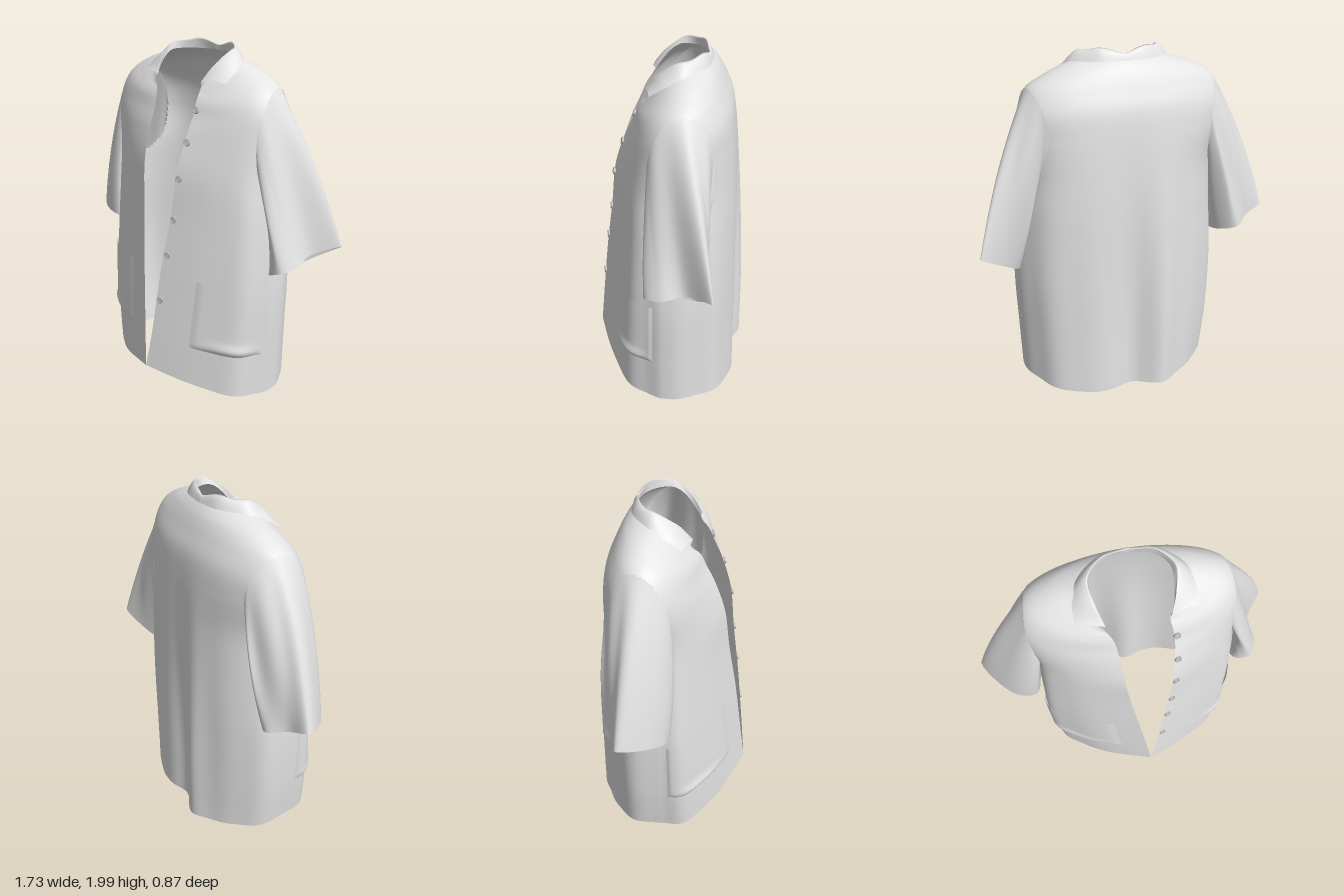
import * as THREE from 'three';

const cloth = new THREE.MeshStandardMaterial({ color: 0xe4e4e4, side: THREE.DoubleSide });
cloth.name = 'pale grey cloth';
const horn = new THREE.MeshStandardMaterial({ color: 0xbdbdbd });
horn.name = 'button grey';

// Body rows, hem to neckline: y front, y side, y back, right edge x, left edge x,
// edge z, right half-width, left half-width, back z, side z
const ROWS = [
  [0.18, 0.05, 0.005, 0.06, 0.06, 0.44, 0.51, 0.60, -0.395, 0.0],
  [0.40, 0.34, 0.35, 0.035, 0.09, 0.415, 0.54, 0.61, -0.39, 0.0],
  [0.79, 0.715, 0.75, -0.01, 0.125, 0.37, 0.55, 0.62, -0.385, 0.0],
  [1.10, 1.10, 1.10, -0.05, 0.16, 0.325, 0.53, 0.60, -0.38, 0.0],
  [1.35, 1.35, 1.35, -0.075, 0.18, 0.295, 0.525, 0.575, -0.37, -0.01],
  [1.53, 1.55, 1.55, -0.09, 0.19, 0.24, 0.575, 0.58, -0.355, -0.04],
  [1.64, 1.68, 1.69, -0.10, 0.195, 0.19, 0.585, 0.585, -0.335, -0.07],
  [1.70, 1.79, 1.79, -0.11, 0.19, 0.165, 0.525, 0.53, -0.295, -0.09],
  [1.735, 1.86, 1.86, -0.125, 0.185, 0.145, 0.41, 0.42, -0.26, -0.10],
  [1.76, 1.905, 1.90, -0.145, 0.18, 0.125, 0.28, 0.31, -0.23, -0.09],
  [1.79, 1.93, 1.93, -0.165, 0.18, 0.11, 0.19, 0.22, -0.2, -0.06],
];
const TOP = ROWS.length - 1;
const { lerp, smoothstep, clamp } = THREE.MathUtils;
const bump = (x, c, w) => Math.exp(-(((x - c) / w) ** 2));
const cubic = (a, b, c, d, u) => a * (1 - u) ** 3 + 3 * b * u * (1 - u) ** 2 + 3 * c * u * u * (1 - u) + d * u ** 3;

// Smooth lookup between rows of numbers
function sample(rows, s) {
  const i = clamp(Math.floor(s), 0, rows.length - 2), f = s - i;
  const at = k => rows[clamp(k, 0, rows.length - 1)];
  return rows[i].map((b, c) => {
    const a = at(i - 1)[c], d = at(i + 1)[c], e = at(i + 2)[c];
    return b + 0.5 * f * (d - a + f * (2 * a - 5 * b + 4 * d - e + f * (3 * (b - d) + e - a)));
  });
}

// Body surface: side is -1 right or 1 left, t runs 0 at the front edge to PI at the back
function bodyPoint(side, t, s) {
  const [yF, yS, yB, xR, xL, zF, wR, wL, zB, zc] = sample(ROWS, s);
  const w = side < 0 ? -wR : wL;
  const sn = Math.max(0, Math.sin(t)), cs = Math.cos(t), up = smoothstep(s, 4, 8);
  const p = new THREE.Vector3();
  if (t < Math.PI / 2) {
    // nearly flat front panel turning a soft corner into the side
    const u = t / (Math.PI / 2), k = lerp(0.75, 0.55, up), corner = lerp(0.55, 0.9, up);
    const across = cubic(0, k, 1, 1, u);
    p.x = lerp(side < 0 ? xR : xL, w, across);
    p.z = lerp(zc, zF, cubic(1, lerp(1, corner, k), corner * k, 0, u));
    p.y = lerp(yF, yS, lerp(across, sn * sn, up));
  } else {
    const e = 2 / lerp(2.6, 2, up), mid = (wL - wR) / 2;
    p.x = mid + (w - mid) * sn ** e;
    p.z = zc + (zB - zc) * Math.abs(cs) ** e;
    p.y = yS + (yB - yS) * cs * cs;
  }
  // hanging folds, fading towards the shoulders
  const loose = 1 - smoothstep(p.y, 0.3, 1.75);
  if (cs < 0) {
    p.z -= cs * cs * loose * (0.05 * bump(p.x, -0.15, 0.09) + 0.012 * bump(p.x, 0.27, 0.1)
      - 0.035 * bump(p.x, 0.04, 0.08));
  }
  const ripple = 0.01 * (loose + 0.15) * Math.sin(t * 8 + side) * sn * sn * (1 - up);
  p.x += side * ripple * sn;
  p.z += ripple * cs;
  return p;
}

function bodyNormal(side, t, s) {
  const p = bodyPoint(side, t, s);
  const a = bodyPoint(side, t + 0.02, s).sub(p), b = bodyPoint(side, t, s + 0.02).sub(p);
  return b.cross(a).multiplyScalar(-side).normalize();
}

// Grid surface from fn(u, v) with u and v in 0..1; closed joins the u ends, hole(u, v) leaves cells out
function grid(name, fn, nu, nv, { closed = false, hole = () => false } = {}) {
  const pos = [], idx = [], cols = closed ? nu : nu + 1;
  for (let j = 0; j <= nv; j++) {
    for (let i = 0; i < cols; i++) pos.push(...fn(i / nu, j / nv).toArray());
  }
  for (let j = 0; j < nv; j++) {
    for (let i = 0; i < nu; i++) {
      if (hole((i + 0.5) / nu, (j + 0.5) / nv)) continue;
      const a = j * cols + i, b = j * cols + (i + 1) % cols;
      idx.push(a, a + cols, b, b, a + cols, b + cols);
    }
  }
  const g = new THREE.BufferGeometry();
  g.setAttribute('position', new THREE.Float32BufferAttribute(pos, 3));
  g.setIndex(idx);
  g.computeVertexNormals();
  const mesh = new THREE.Mesh(g, cloth);
  mesh.name = name;
  return mesh;
}

const vectors = list => list.map(p => new THREE.Vector3(...p));

// Armhole: an ellipse on the body surface, shared by the body opening and the sleeve heads
const HOLE = { t: 1.66, s: 5.3, rt: 0.64, rs: 1.8 };
const armhole = (side, ang) => bodyPoint(side, HOLE.t - HOLE.rt * Math.sin(ang), HOLE.s + HOLE.rs * Math.cos(ang));

// Cuff loops: outer tip, front, inner, back
const CUFFS = {
  left: [[0.86, 0.95, -0.29], [0.755, 0.91, -0.14], [0.775, 0.885, -0.02], [0.73, 0.865, 0.075],
    [0.64, 0.825, 0.06], [0.61, 0.80, -0.06], [0.63, 0.795, -0.17], [0.73, 0.865, -0.25]],
  right: [[-0.87, 0.96, -0.15], [-0.79, 0.92, -0.01], [-0.68, 0.88, 0.075], [-0.58, 0.85, 0.07],
    [-0.545, 0.84, -0.05], [-0.56, 0.86, -0.2], [-0.66, 0.89, -0.27], [-0.76, 0.92, -0.19]],
};

function sleeve(name, side, cuff) {
  const end = new THREE.CatmullRomCurve3(vectors(cuff), true);
  return grid(name, (u, v) => {
    const ang = u * Math.PI * 2, a = armhole(side, ang), c = end.getPoint(u);
    const outer = Math.max(0, Math.cos(ang)), ahead = Math.sin(ang);
    const mid = a.clone().lerp(c, 0.5);
    mid.add(new THREE.Vector3(side * 0.035 * outer, 0.08 * outer, 0.035 * ahead));
    const p = new THREE.QuadraticBezierCurve3(a, mid, c).getPoint(v);
    // long soft folds, deepest behind the arm
    const fold = 0.012 * Math.sin(ang * 6) * Math.sin(Math.PI * v) * (0.5 - 0.5 * ahead);
    p.x += side * fold;
    p.z += ahead * fold;
    return p;
  }, 72, 32, { closed: true });
}

// Patch pocket lying on the front panel, with a sagging lower edge
function pocket(name, side, t0, t1) {
  return grid(name, (u, v) => {
    const t = lerp(t0, t1, u), s = lerp(0.93, 2, v);
    const edge = smoothstep(Math.min(u, 1 - u, v), 0, 0.06);
    const sag = 0.012 * bump(v, 0.1, 0.08) * Math.sin(Math.PI * u) ** 2;
    return bodyPoint(side, t, s).addScaledVector(bodyNormal(side, t, s), 0.002 + edge * 0.008 + sag);
  }, 36, 28);
}

// Collar rails for the left half, tip to back centre
const CREST = new THREE.CatmullRomCurve3(vectors([[0.185, 1.815, 0.12], [0.22, 1.915, 0.035],
  [0.235, 1.97, -0.07], [0.165, 1.985, -0.155], [0.02, 1.965, -0.2]]));
const FALL = new THREE.CatmullRomCurve3(vectors([[0.33, 1.82, 0.085], [0.325, 1.875, -0.01],
  [0.29, 1.915, -0.1], [0.17, 1.925, -0.2], [0.02, 1.925, -0.225]]));

function collar() {
  return grid('collar', (u, v) => {
    const side = u < 0.5 ? -1 : 1, k = 1 - Math.abs(2 * u - 1);
    const flip = p => (side < 0 ? p.setX(0.04 - p.x) : p);
    const base = bodyPoint(side, k * Math.PI, TOP);
    const crest = flip(CREST.getPoint(k)), fall = flip(FALL.getPoint(k));
    crest.y += 0.007 * Math.sin(u * 34) * Math.sin(Math.PI * u);
    const p = v < 0.5 ? base.lerp(crest, v * 2) : crest.lerp(fall, v * 2 - 1);
    // rounded roll between stand and fall
    p.y += Math.sin(Math.PI * clamp((v - 0.5) * 2, 0, 1)) * 0.012;
    return p;
  }, 96, 12);
}

// Buttons along the left front edge
function buttons() {
  const group = new THREE.Group();
  group.name = 'buttons';
  const disc = new THREE.CylinderGeometry(0.019, 0.019, 0.008, 20);
  const rim = new THREE.TorusGeometry(0.016, 0.003, 8, 20).rotateX(Math.PI / 2).translate(0, 0.004, 0);
  for (const s of [1.56, 2.29, 2.97, 3.87, 4.88, 6.5]) {
    const t = 0.03, n = bodyNormal(1, t, s), button = new THREE.Group();
    button.name = 'button';
    button.add(new THREE.Mesh(disc, horn), new THREE.Mesh(rim, horn));
    button.position.copy(bodyPoint(1, t, s)).addScaledVector(n, 0.005);
    button.quaternion.setFromUnitVectors(new THREE.Vector3(0, 1, 0), n);
    group.add(button);
  }
  return group;
}

export function createModel() {
  const model = new THREE.Group();
  model.name = 'shirt';
  const around = u => Math.PI * (1 - Math.abs(2 * u - 1));
  model.add(
    grid('body', (u, v) => bodyPoint(u < 0.5 ? -1 : 1, around(u), v * TOP), 240, 160, {
      hole: (u, v) => Math.hypot((around(u) - HOLE.t) / HOLE.rt, (v * TOP - HOLE.s) / HOLE.rs) < 0.97,
    }),
    sleeve('leftSleeve', 1, CUFFS.left),
    sleeve('rightSleeve', -1, CUFFS.right),
    pocket('leftPocket', 1, 0.33, 1.4),
    pocket('rightPocket', -1, 0.21, 1.4),
    collar(),
    buttons(),
  );
  return model;
}
